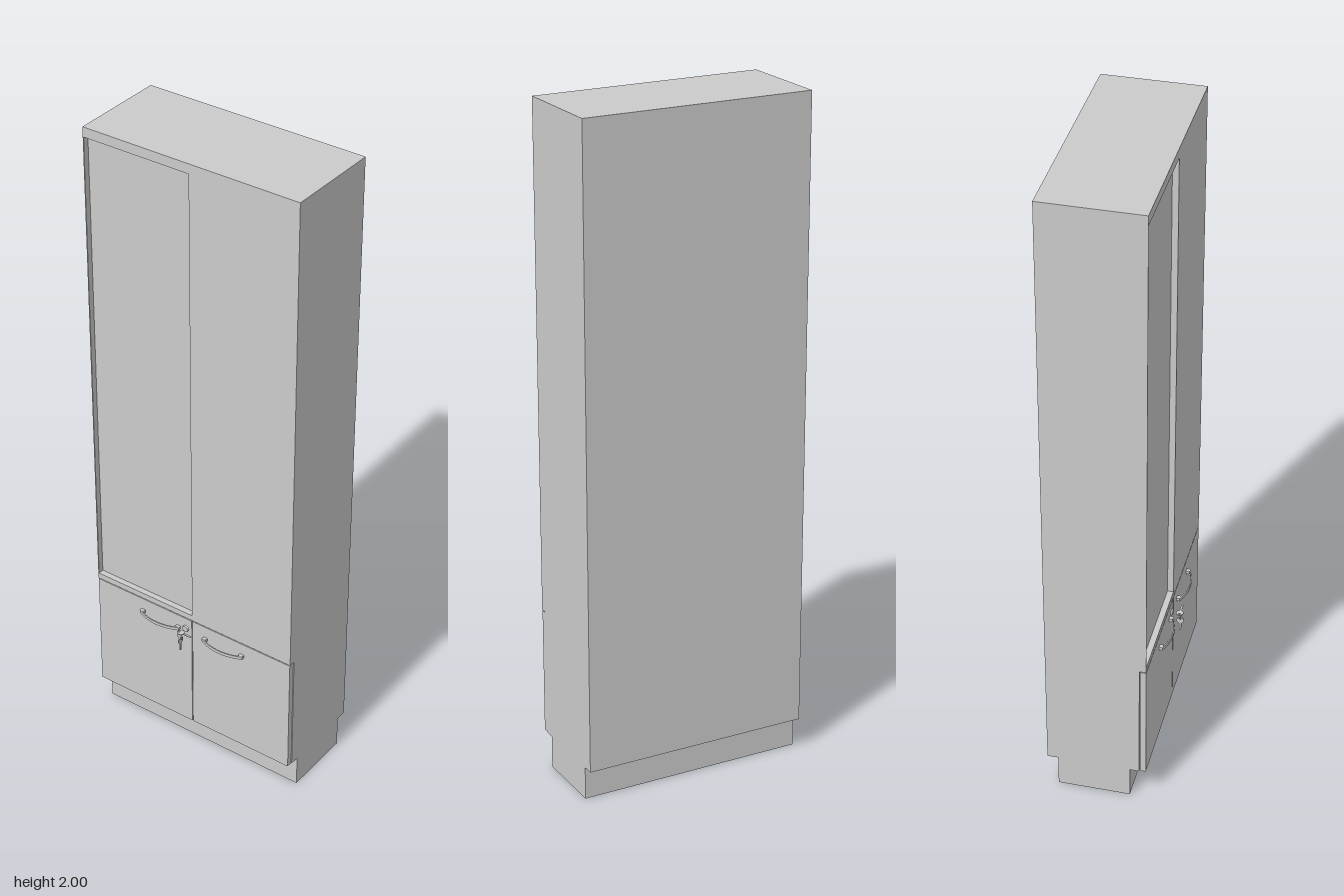
import * as THREE from 'three';

const grey = new THREE.MeshStandardMaterial({ color: 0xcccccc });

function add(parent, name, geometry, x = 0, y = 0, z = 0) {
  const mesh = new THREE.Mesh(geometry, grey);
  mesh.name = name;
  mesh.position.set(x, y, z);
  parent.add(mesh);
  return mesh;
}

// Box given by its limits on each axis
function slab(parent, name, [x0, x1], [y0, y1], [z0, z1]) {
  return add(parent, name, new THREE.BoxGeometry(x1 - x0, y1 - y0, z1 - z0),
    (x0 + x1) / 2, (y0 + y1) / 2, (z0 + z1) / 2);
}

// Bow handle: two square feet joined by a shallow arched bar
function makeHandle() {
  const handle = new THREE.Group();
  handle.name = 'handle';
  for (const s of [-1, 1]) {
    slab(handle, 'handleFoot', [s * 0.065 - 0.007, s * 0.065 + 0.007], [-0.005, 0.005], [0, 0.01]);
  }
  const arch = new THREE.Shape();
  arch.moveTo(-0.072, 0.01);
  arch.quadraticCurveTo(0, 0.045, 0.072, 0.01);
  arch.lineTo(0.066, 0.009);
  arch.quadraticCurveTo(0, 0.039, -0.066, 0.009);
  arch.closePath();
  const bar = new THREE.ExtrudeGeometry(arch, { depth: 0.01, bevelEnabled: false, curveSegments: 16 });
  bar.rotateX(Math.PI / 2);
  add(handle, 'handleBar', bar, 0, 0.005, 0);
  return handle;
}

// Flat key with a pierced round bow, blade pointing down
function makeKey() {
  const key = new THREE.Group();
  const bow = new THREE.Shape().absarc(0, 0, 0.011, 0, Math.PI * 2);
  bow.holes.push(new THREE.Path().absarc(0, 0.006, 0.003, 0, Math.PI * 2, true));
  const head = new THREE.ExtrudeGeometry(bow, { depth: 0.003, bevelEnabled: false, curveSegments: 12 });
  head.translate(0, 0, -0.0015);
  add(key, 'keyBow', head);
  slab(key, 'keyBlade', [-0.003, 0.003], [-0.036, -0.009], [-0.0012, 0.0012]);
  key.rotation.y = Math.PI / 2;
  return key;
}

export function createModel() {
  const model = new THREE.Group();
  model.name = 'cabinet';
  const W = 0.348, back = -0.168, front = 0.131;
  const recess = front - 0.018;

  // Hollow plinth, open underneath
  const outer = new THREE.Shape();
  outer.moveTo(-W, -0.083).lineTo(W, -0.083).lineTo(W, 0.135).lineTo(-W, 0.135).closePath();
  const inner = new THREE.Path();
  const t = 0.018;
  inner.moveTo(-W + t, -0.083 + t).lineTo(-W + t, 0.135 - t).lineTo(W - t, 0.135 - t).lineTo(W - t, -0.083 + t).closePath();
  outer.holes.push(inner);
  const plinth = new THREE.ExtrudeGeometry(outer, { depth: 0.1, bevelEnabled: false });
  plinth.rotateX(-Math.PI / 2);
  add(model, 'plinth', plinth);

  // Lower cupboard and its cover board
  slab(model, 'lowerCarcass', [-W, W], [0.1, 0.49], [back, recess - 0.002]);
  slab(model, 'coverBoard', [-W, W], [0.49, 0.508], [back, front]);

  // Upper cabinet with a recessed panel on one half
  slab(model, 'upperCarcass', [-W, W], [0.508, 2], [back, recess]);
  slab(model, 'topRail', [-W, W], [1.97, 2], [recess, front]);
  slab(model, 'upperDoor', [0, W], [0.508, 1.97], [recess, front]);
  slab(model, 'sideEdge', [-W, -W + 0.003], [0.508, 1.97], [recess, front]);

  // Lower doors with handles
  for (const s of [-1, 1]) {
    const a = s * 0.0015, b = s * (W - 0.001);
    slab(model, 'lowerDoor', [Math.min(a, b), Math.max(a, b)], [0.102, 0.487], [recess, front]);
    const handle = makeHandle();
    handle.position.set(s * 0.114, 0.444, front);
    model.add(handle);
  }

  // Lock with one key inserted and a spare hanging from it
  const lock = new THREE.Group();
  lock.name = 'lock';
  lock.position.set(-0.023, 0.45, front);
  model.add(lock);
  const rosette = new THREE.CylinderGeometry(0.009, 0.011, 0.005, 20);
  rosette.rotateX(Math.PI / 2);
  add(lock, 'lockRosette', rosette, 0, 0, 0.0025);

  const inserted = makeKey();
  inserted.name = 'insertedKey';
  inserted.rotation.set(Math.PI / 2, 0, Math.PI / 2);
  inserted.position.z = 0.025;
  lock.add(inserted);

  const ring = new THREE.TorusGeometry(0.009, 0.0008, 6, 20);
  add(lock, 'keyRing', ring, 0, -0.012, 0.029);

  const spare = makeKey();
  spare.name = 'spareKey';
  spare.position.set(0, -0.027, 0.027);
  lock.add(spare);

  return model;
}
